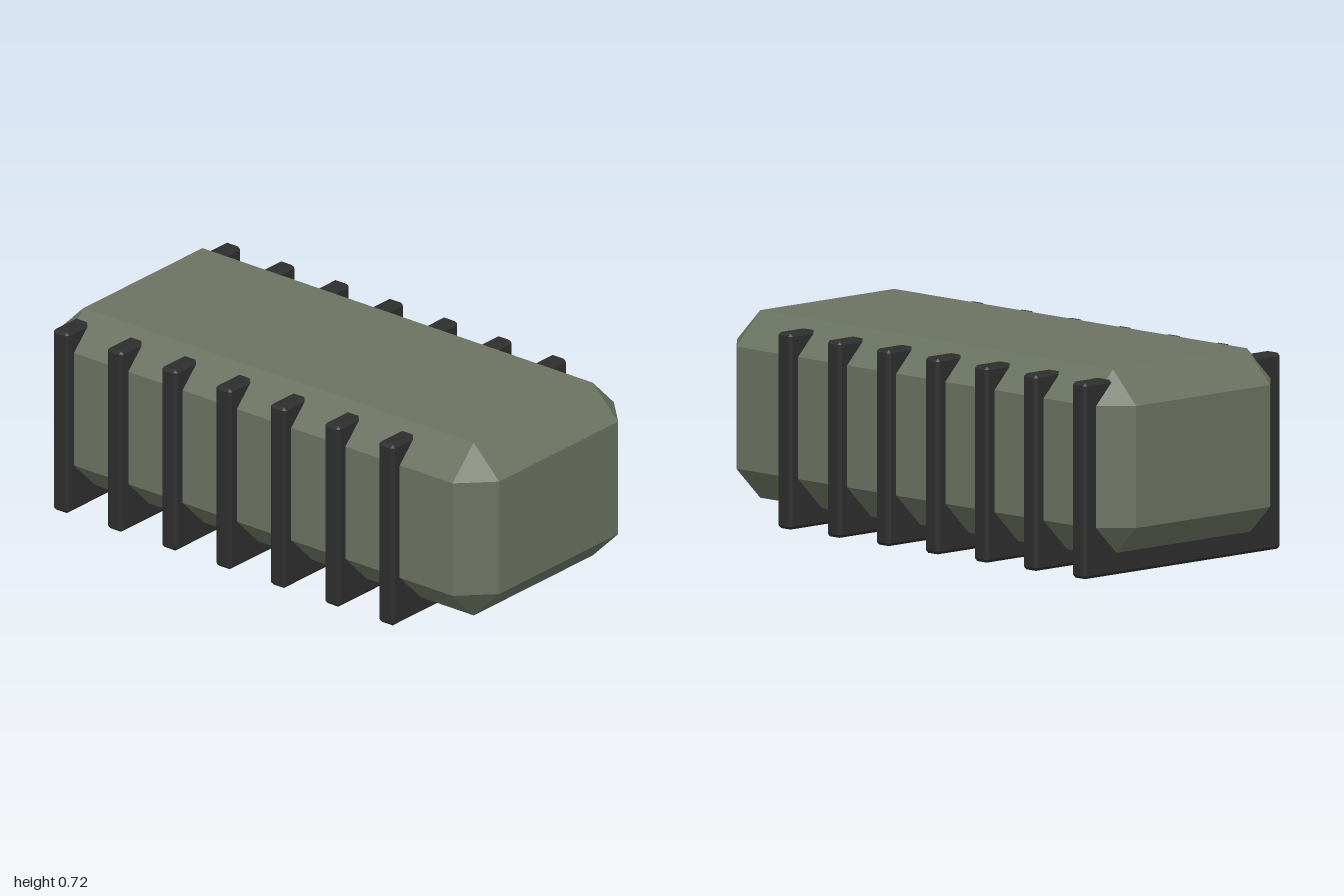
import * as THREE from 'three';
import { ConvexGeometry } from 'three/addons/geometries/ConvexGeometry.js';

// Box with every edge chamfered by c and triangular corner facets
function chamferedBox(w, h, d, c) {
  const points = [];
  for (const sx of [-1, 1]) for (const sy of [-1, 1]) for (const sz of [-1, 1]) {
    const x = w / 2, y = h / 2, z = d / 2;
    points.push(
      new THREE.Vector3(sx * x, sy * (y - c), sz * (z - c)),
      new THREE.Vector3(sx * (x - c), sy * y, sz * (z - c)),
      new THREE.Vector3(sx * (x - c), sy * (y - c), sz * z)
    );
  }
  return new ConvexGeometry(points);
}

export function createModel() {
  const model = new THREE.Group();
  model.name = 'ribbedContainer';
  const bodyMaterial = new THREE.MeshStandardMaterial({ color: 0x6b7361, flatShading: true });
  const ribMaterial = new THREE.MeshStandardMaterial({ color: 0x2e2e2e, flatShading: true });

  // Long chamfered body
  const body = new THREE.Mesh(chamferedBox(0.884, 0.664, 2, 0.116), bodyMaterial);
  body.name = 'body';
  body.position.y = 0.393;
  model.add(body);

  // Evenly spaced frames through the body, set towards the back
  const ribGeometry = chamferedBox(0.958, 0.694, 0.07, 0.011);
  const ribs = new THREE.Group();
  ribs.name = 'ribs';
  for (let i = 0; i < 7; i++) {
    const rib = new THREE.Mesh(ribGeometry, ribMaterial);
    rib.name = `rib${i + 1}`;
    rib.position.set(0, 0.347, 0.61 - i * 0.246);
    ribs.add(rib);
  }
  model.add(ribs);
  return model;
}
